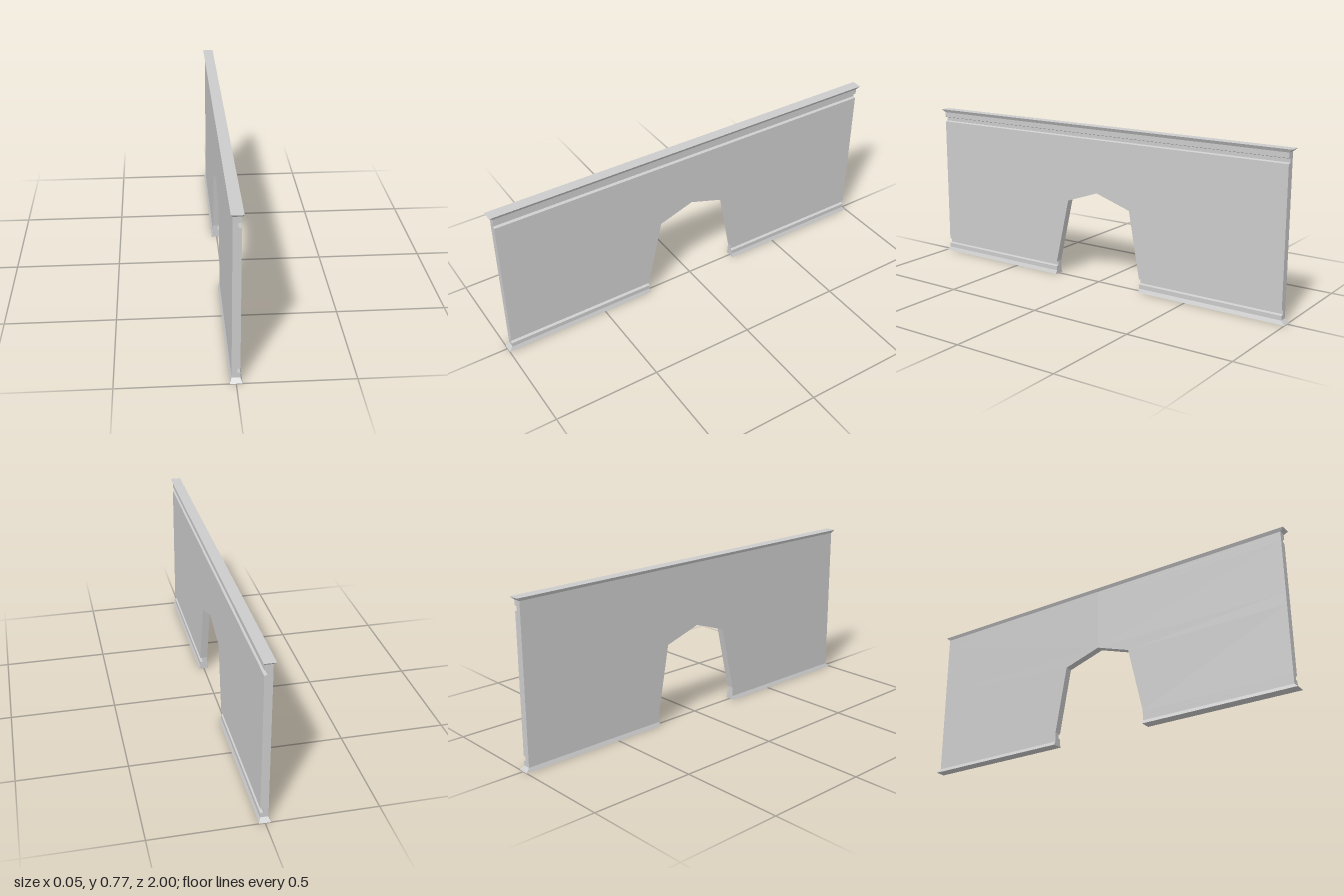
import * as THREE from 'three';

const END = 0.982, FACE = 0.018, GROOVE = 0.005, FLARE = 0.026, DOOR = 0.246;
const material = new THREE.MeshStandardMaterial({ color: 0xcccccc, flatShading: true });

// Stack of rectangular sections [y, left x, right x, outer z, inner z], mirrored by side.
function stack(name, side, rows, closeBottom, closeTop) {
  const pos = [];
  const tri = (a, b, c) => pos.push(...a, ...(side > 0 ? b : c), ...(side > 0 ? c : b));
  const quad = (a, b, c, d) => { tri(a, b, c); tri(a, c, d); };
  const rings = rows.map(([y, xl, xr, zo, zi]) => [
    [xr, y, zo * side], [xr, y, zi * side], [-xl, y, zi * side], [-xl, y, zo * side],
  ]);
  for (let r = 0; r + 1 < rings.length; r++) {
    const lo = rings[r], hi = rings[r + 1];
    for (let i = 0; i < 4; i++) {
      // the two halves join at z = 0, so no face is needed there
      if (i === 1 && rows[r][4] === 0 && rows[r + 1][4] === 0) continue;
      const j = (i + 1) % 4;
      quad(lo[i], lo[j], hi[j], hi[i]);
    }
  }
  if (closeBottom) quad(...[...rings[0]].reverse());
  if (closeTop) quad(...rings[rings.length - 1]);
  const geometry = new THREE.BufferGeometry();
  geometry.setAttribute('position', new THREE.Float32BufferAttribute(pos, 3));
  geometry.computeVertexNormals();
  const mesh = new THREE.Mesh(geometry, material);
  mesh.name = name;
  return mesh;
}

// Four sections of a groove cut into the +x face
const groove = (y0, y1, y2, y3, zi) => [
  [y0, FACE, FACE, END, zi], [y1, FACE, GROOVE, END, zi],
  [y2, FACE, GROOVE, END, zi], [y3, FACE, FACE, END, zi],
];

export function createModel() {
  const wall = new THREE.Group();
  wall.name = 'wallWithDoorway';
  for (const side of [1, -1]) {
    const label = side > 0 ? 'front' : 'back';
    const shoulder = side > 0 ? 0.172 : 0.186;

    // Flared foot, cut straight at the doorway
    wall.add(stack(label + 'Foot', side, [
      [0, FLARE, FLARE, 1, DOOR],
      [0.018, FACE, FACE, END, DOOR],
    ], true, false));

    // Panel with lower and upper grooves and half of the pointed doorway
    wall.add(stack(label + 'Panel', side, [
      [0.018, FACE, FACE, END, DOOR],
      ...groove(0.039, 0.043, 0.06, 0.065, DOOR),
      [0.39, FACE, FACE, END, shoulder],
      [0.449, FACE, FACE, END, 0],
      ...groove(0.708, 0.712, 0.729, 0.733, 0),
      [0.757, FACE, FACE, END, 0],
    ], false, false));

    // Flared coping along the top
    wall.add(stack(label + 'Coping', side, [
      [0.757, FACE, FACE, END, 0],
      [0.772, FLARE, FLARE, 1, 0],
    ], false, true));
  }
  return wall;
}
